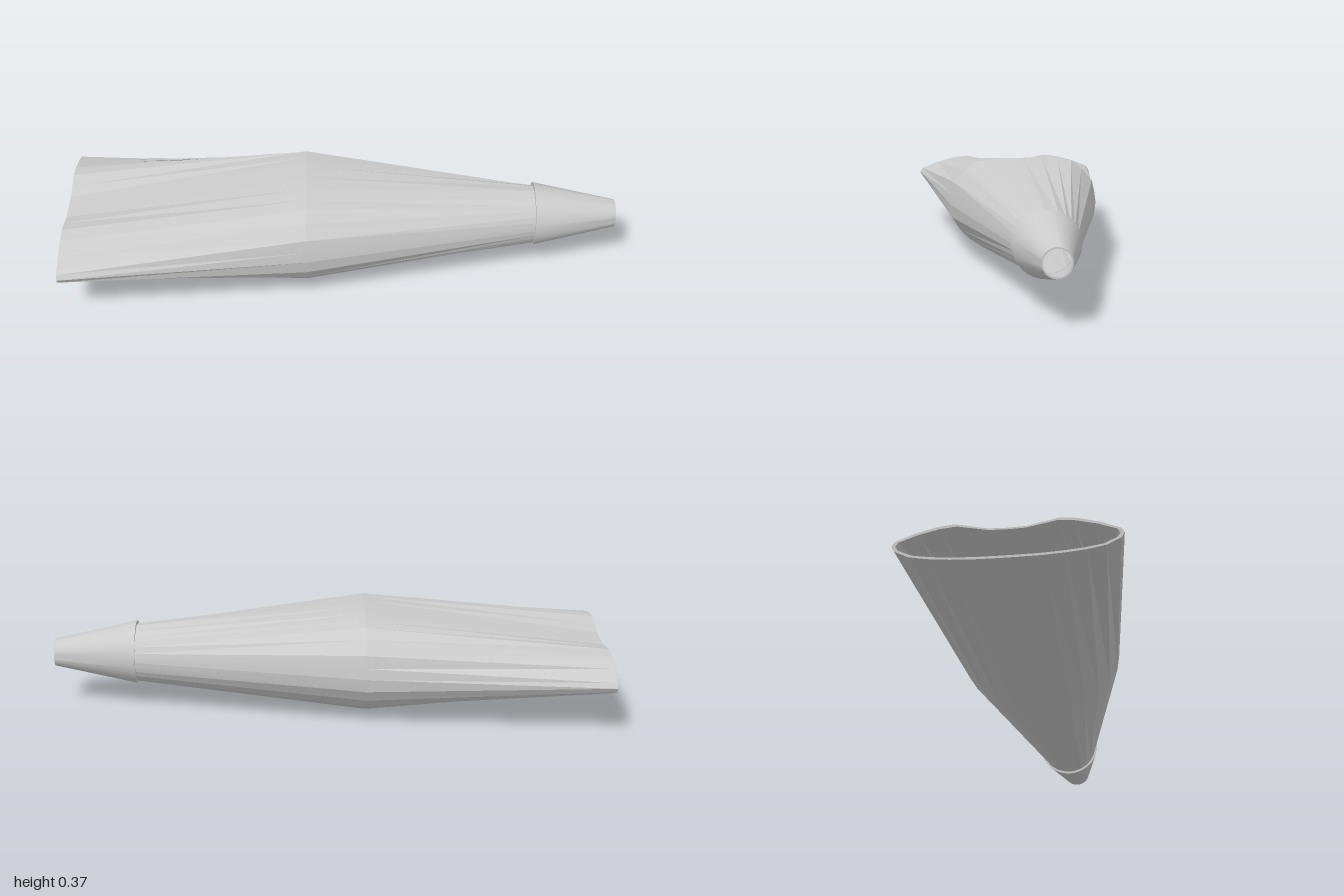
import * as THREE from 'three';
import { toCreasedNormals } from 'three/addons/utils/BufferGeometryUtils.js';

const CY = 0.2; // height of the long axis

// half outlines [z, y], from the top centre round the +z side to the bottom
const mouthHalf = [[0, 0.243], [0.06, 0.245], [0.11, 0.256], [0.165, 0.268], [0.22, 0.262], [0.29, 0.243], [0.355, 0.217],
  [0.365, 0.2], [0.355, 0.183], [0.31, 0.16], [0.25, 0.149], [0.18, 0.142], [0.11, 0.138], [0.03, 0.137]];
const waistHalf = [[0, 0.373], [0.07, 0.372], [0.13, 0.367], [0.18, 0.36], [0.22, 0.33], [0.26, 0.285], [0.27, 0.24],
  [0.275, 0.2], [0.268, 0.15], [0.24, 0.105], [0.2, 0.065], [0.15, 0.033], [0.1, 0.012], [0.03, 0]];
// round neck, following the directions of the waist points
const neckHalf = waistHalf.map(([z, y]) => {
  const a = Math.atan2(z, y - CY);
  return [Math.sin(a) * 0.104, CY + Math.cos(a) * 0.104];
});

// full closed ring at x, scaled about the axis
function ring(x, half, sz = 1, sy = 1) {
  const mirrored = half.slice(1).reverse().map(([z, y]) => [-z, y]);
  return [...half, ...mirrored].map(([z, y]) => [x, CY + (y - CY) * sy, z * sz]);
}

// skin a closed loop of rings
function skin(rings) {
  const n = rings[0].length;
  const index = [];
  rings.forEach((_, i) => {
    const next = (i + 1) % rings.length;
    for (let j = 0; j < n; j++) {
      const k = (j + 1) % n;
      const a = i * n + j, b = i * n + k, c = next * n + j, d = next * n + k;
      index.push(a, b, c, b, d, c);
    }
  });
  const geometry = new THREE.BufferGeometry();
  geometry.setAttribute('position', new THREE.Float32BufferAttribute(rings.flat(2), 3));
  geometry.setIndex(index);
  geometry.computeVertexNormals();
  return toCreasedNormals(geometry, 0.15);
}

export function createModel() {
  const group = new THREE.Group();
  group.name = 'nozzle';
  const material = new THREE.MeshStandardMaterial({ color: 0xcccccc });

  // hollow body: outer skin from mouth to neck, then the inner skin back
  const body = new THREE.Mesh(skin([
    ring(-1, mouthHalf),
    ring(-0.13, waistHalf),
    ring(0.71, neckHalf),
    ring(0.71, neckHalf, 0.9, 0.9),
    ring(-0.13, waistHalf, 0.95, 0.94),
    ring(-1, mouthHalf, 0.965, 0.87),
  ]), material);
  body.name = 'flaredBody';
  group.add(body);

  // tapered hollow collar at the narrow end
  const profile = [[0.098, 0.7], [0.115, 0.7], [0.05, 1], [0.045, 1], [0.098, 0.7]]
    .map(([r, h]) => new THREE.Vector2(r, h));
  const collar = new THREE.Mesh(toCreasedNormals(new THREE.LatheGeometry(profile, 32), 0.5), material);
  collar.name = 'tipCollar';
  collar.rotation.z = -Math.PI / 2;
  collar.position.y = CY + 0.002;
  group.add(collar);

  return group;
}
